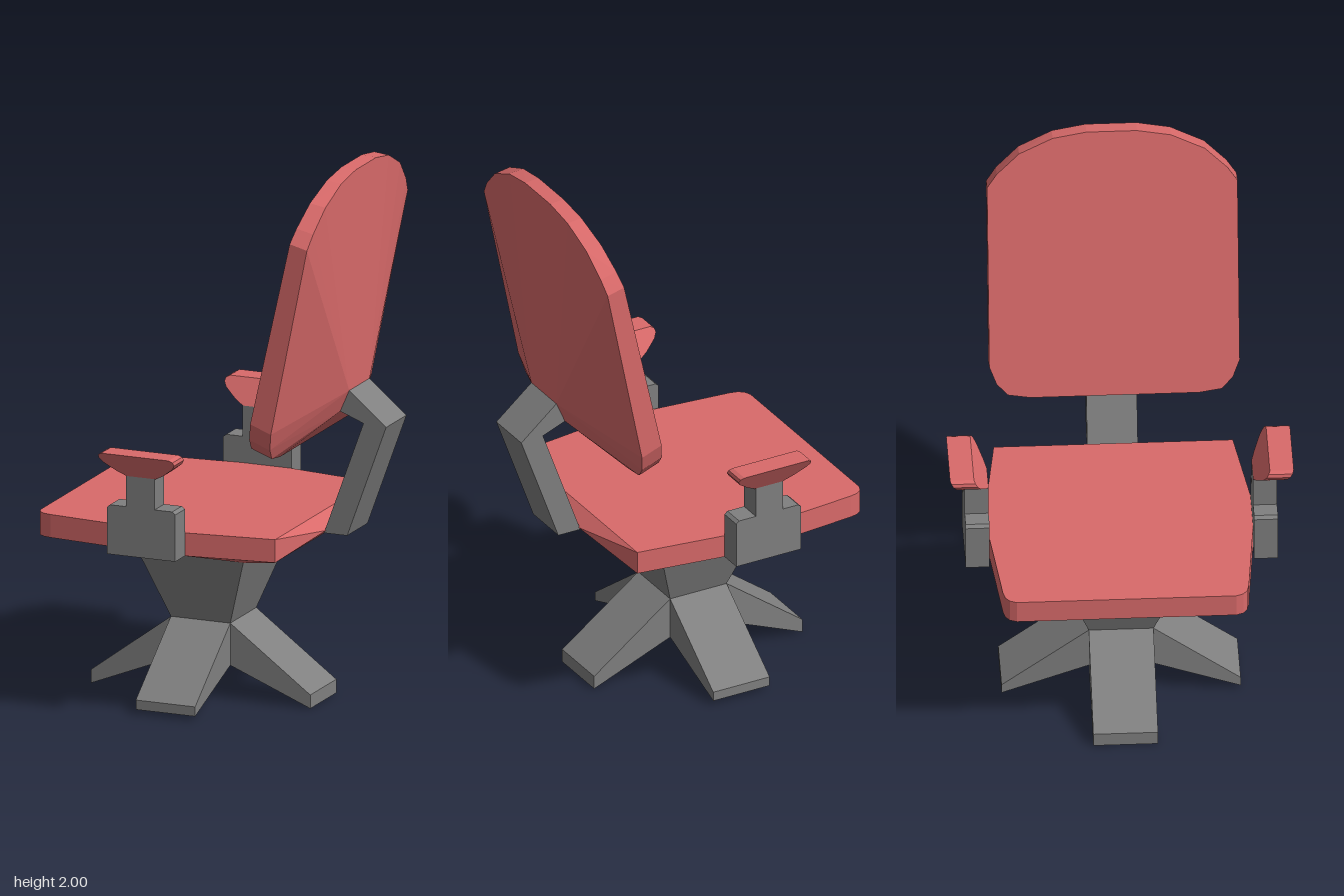
import * as THREE from 'three';
import { ConvexGeometry } from 'three/addons/geometries/ConvexGeometry.js';

const red = new THREE.MeshStandardMaterial({ color: 0xd96a6a, flatShading: true });
const grey = new THREE.MeshStandardMaterial({ color: 0x808080, flatShading: true });
const CX = -0.105; // pedestal axis

// x/y profile extruded along z from z0 to z1
function slab(points, z0, z1) {
  const shape = new THREE.Shape(points.map(([x, y]) => new THREE.Vector2(x, y)));
  return new THREE.ExtrudeGeometry(shape, { depth: z1 - z0, bevelEnabled: false }).translate(0, 0, z0);
}

// convex solid through a list of [x, y, z] points
const hull = (points) => new ConvexGeometry(points.map((p) => new THREE.Vector3(...p)));

// four corners of a horizontal rectangle centred on the pedestal axis
const square = (rx, rz, y) => [[-1, -1], [-1, 1], [1, 1], [1, -1]].map(([a, b]) => [CX + a * rx, y, b * rz]);

// repeats points on both sides of z = 0
const bothSides = (points) => points.flatMap(([x, y, z]) => [[x, y, z], [x, y, -z]]);

export function createModel() {
  const chair = new THREE.Group();
  chair.name = 'officeChair';
  const add = (name, geometry, material) => {
    const mesh = new THREE.Mesh(geometry, material);
    mesh.name = name;
    chair.add(mesh);
    return mesh;
  };

  // Cross-shaped foot: hub and four sloping legs
  add('hub', new THREE.BoxGeometry(0.23, 0.155, 0.23).translate(CX, 0.2025, 0), grey);
  for (let i = 0; i < 4; i++) {
    const tip = i % 2 ? 0.015 : 0;
    const profile = [[0.115, 0.28], [0.115, 0.125], [0.425, tip], [0.425, 0.05]];
    const leg = add('leg' + (i + 1), slab(profile, -0.115, 0.115), grey);
    leg.rotation.y = (i * Math.PI) / 2;
    leg.position.x = CX;
  }

  // Flared column under the seat
  add('column', hull([...square(0.115, 0.115, 0.28), ...square(0.205, 0.205, 0.535)]), grey);

  // Seat: rim, tapered underside and rear wedge
  const rim = [[-0.605, 0.39], [-0.595, 0.415], [-0.575, 0.43], [-0.545, 0.437],
    [-0.2, 0.47], [-0.01, 0.47], [0.32, 0.425]];
  add('seat', hull([
    ...bothSides(rim.flatMap(([x, z]) => [[x, 0.615, z], [x, 0.7, z]])),
    ...square(0.205, 0.205, 0.535),
    ...bothSides([[0.37, 0.655, 0.09]]),
  ]), red);

  // Bent bracket joining seat and backrest
  add('backSupport', slab([[0.46, 1.18], [0.425, 1.1], [0.515, 1.065], [0.362, 0.645],
    [0.452, 0.645], [0.603, 1.06]], -0.09, 0.09), grey);

  // Backrest: leaning panel with a faceted back bulging towards the bracket
  const outline = [[0.3, 1.0], [0.38, 1.012], [0.42, 1.055], [0.445, 1.12], [0.445, 1.8],
    [0.41, 1.85], [0.33, 1.925], [0.21, 1.98], [0.09, 2.0]];
  const panel = outline.flatMap(([z, y]) => {
    const t = 0.025 * (y - 1) ** 3; // rim thins towards the top
    const x = 0.205 + 0.225 * (y - 1);
    return [[x, y, z], [x + 0.08 - t, y - 0.03 + t, z]];
  });
  add('backrest', hull(bothSides([...panel, [0.46, 1.18, 0.09], [0.425, 1.1, 0.09]])), red);

  // Armrests: base, post and outward-leaning pad
  for (const side of [1, -1]) {
    const name = side > 0 ? 'left' : 'right';
    const [z0, z1] = side > 0 ? [0.47, 0.555] : [-0.555, -0.47];
    add(name + 'ArmBase', slab([[-0.275, 0.615], [-0.01, 0.615], [-0.01, 0.787], [-0.022, 0.797],
      [-0.263, 0.797], [-0.275, 0.787]], z0, z1), grey);
    add(name + 'ArmPost', slab([[-0.2, 0.797], [-0.09, 0.797], [-0.09, 0.91], [-0.2, 0.91]], z0, z1), grey);

    const half = [[0.057, 0.91], [0.09, 0.928], [0.135, 0.962], [0.147, 0.98], [0.144, 0.993], [0.13, 1.0]];
    const profile = [...half, ...half.slice().reverse().map(([x, y]) => [-x, y])]
      .map(([x, y]) => [x - 0.142, y]);
    const pad = slab(profile, z0, z1);
    const pos = pad.attributes.position;
    for (let i = 0; i < pos.count; i++) {
      pos.setZ(i, pos.getZ(i) + side * 0.62 * (pos.getY(i) - 0.91));
    }
    pad.computeVertexNormals();
    add(name + 'ArmPad', pad, red);
  }
  return chair;
}
